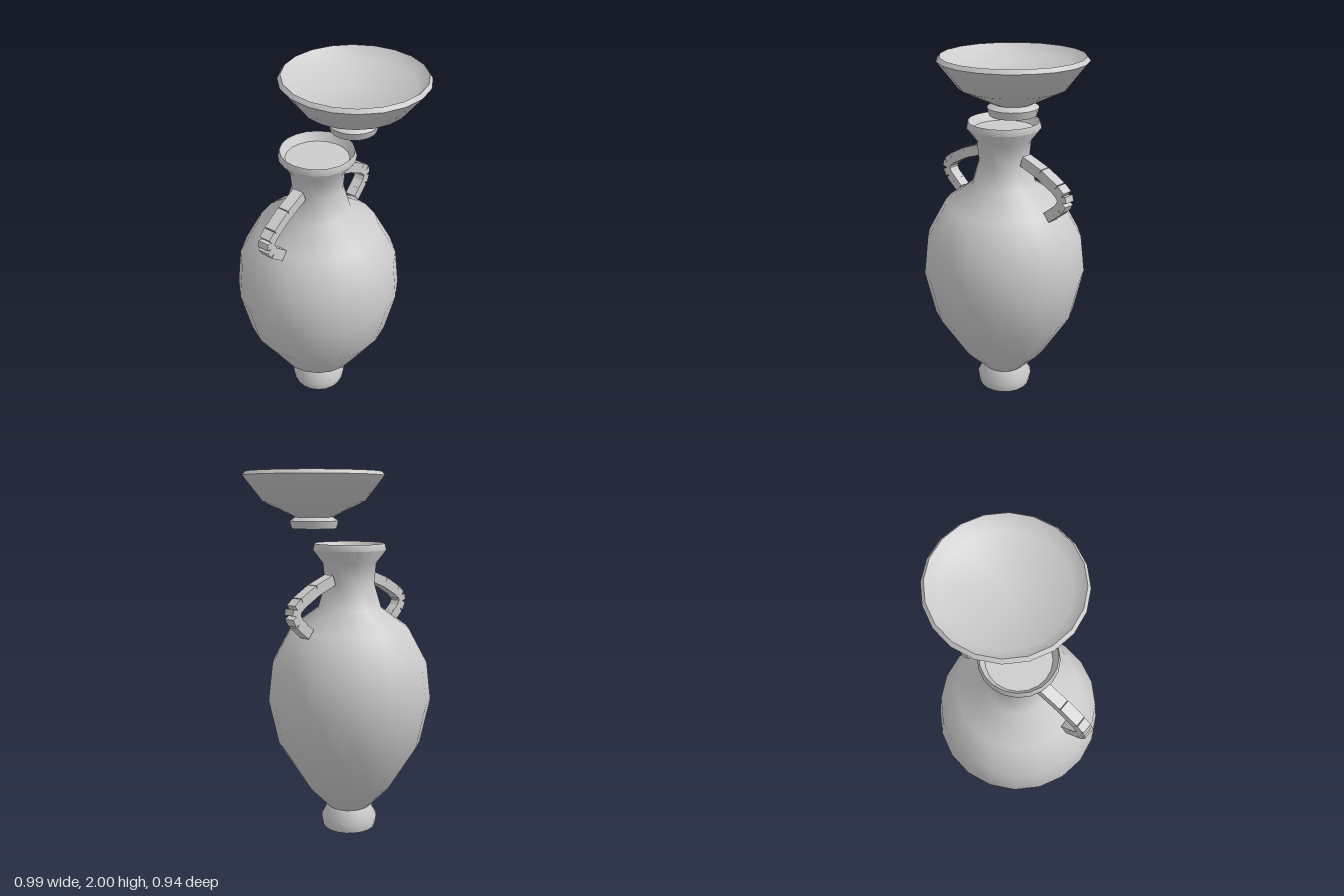
import * as THREE from 'three';
import { toCreasedNormals } from 'three/addons/utils/BufferGeometryUtils.js';

const SIDES = 20;
const clay = new THREE.MeshStandardMaterial({ color: 0xcccccc });
clay.name = 'paleClay';

// Closed turned shape from [radius, height] pairs, listed bottom to top
function turned(name, profile) {
  const points = profile.map(([r, y]) => new THREE.Vector2(r, y));
  const geometry = toCreasedNormals(new THREE.LatheGeometry(points, SIDES), 0.9);
  const mesh = new THREE.Mesh(geometry, clay);
  mesh.name = name;
  return mesh;
}

// Curved handle made of short straight blocks; side is +1 (left) or -1 (right)
function handle(name, side) {
  const path = [
    [0.152, 1.437], [0.275, 1.393], [0.38, 1.337], [0.42, 1.305],
    [0.428, 1.272], [0.406, 1.233], [0.366, 1.2], [0.327, 1.167],
  ];
  const group = new THREE.Group();
  group.name = name;
  for (let i = 0; i < path.length - 1; i++) {
    const [x0, y0] = path[i];
    const [x1, y1] = path[i + 1];
    const dx = (x1 - x0) * side;
    const dy = y1 - y0;
    const block = new THREE.Mesh(new THREE.BoxGeometry(Math.hypot(dx, dy), 0.058, 0.062), clay);
    block.name = 'handleBlock';
    block.position.set(side * (x0 + x1) / 2, (y0 + y1) / 2, 0);
    block.rotation.z = Math.atan2(dy, dx);
    group.add(block);
  }
  return group;
}

export function createModel() {
  const model = new THREE.Group();
  model.name = 'vaseAndBowl';

  // Vase: foot, belly, shoulder, neck, lip and shallow inner floor
  const vase = new THREE.Group();
  vase.name = 'vase';
  vase.position.set(-0.041, 0, -0.013);
  vase.add(turned('vaseBody', [
    [0, 0], [0.15, 0], [0.16, 0.055], [0.123, 0.125], [0.242, 0.25],
    [0.403, 0.515], [0.456, 0.765], [0.431, 0.975], [0.328, 1.165],
    [0.176, 1.275], [0.136, 1.41], [0.147, 1.52], [0.201, 1.59],
    [0.192, 1.625], [0.165, 1.58], [0, 1.58],
  ]));
  vase.add(handle('leftHandle', 1), handle('rightHandle', -1));
  model.add(vase);

  // Footed bowl floating above the vase, off to one side
  const bowl = turned('bowl', [
    [0, 1.705], [0.12, 1.705], [0.132, 1.745], [0.103, 1.765],
    [0.272, 1.847], [0.376, 1.98], [0.36, 2], [0.303, 1.945], [0, 1.945],
  ]);
  bowl.position.set(0.121, 0, 0.095);
  model.add(bowl);

  return model;
}
